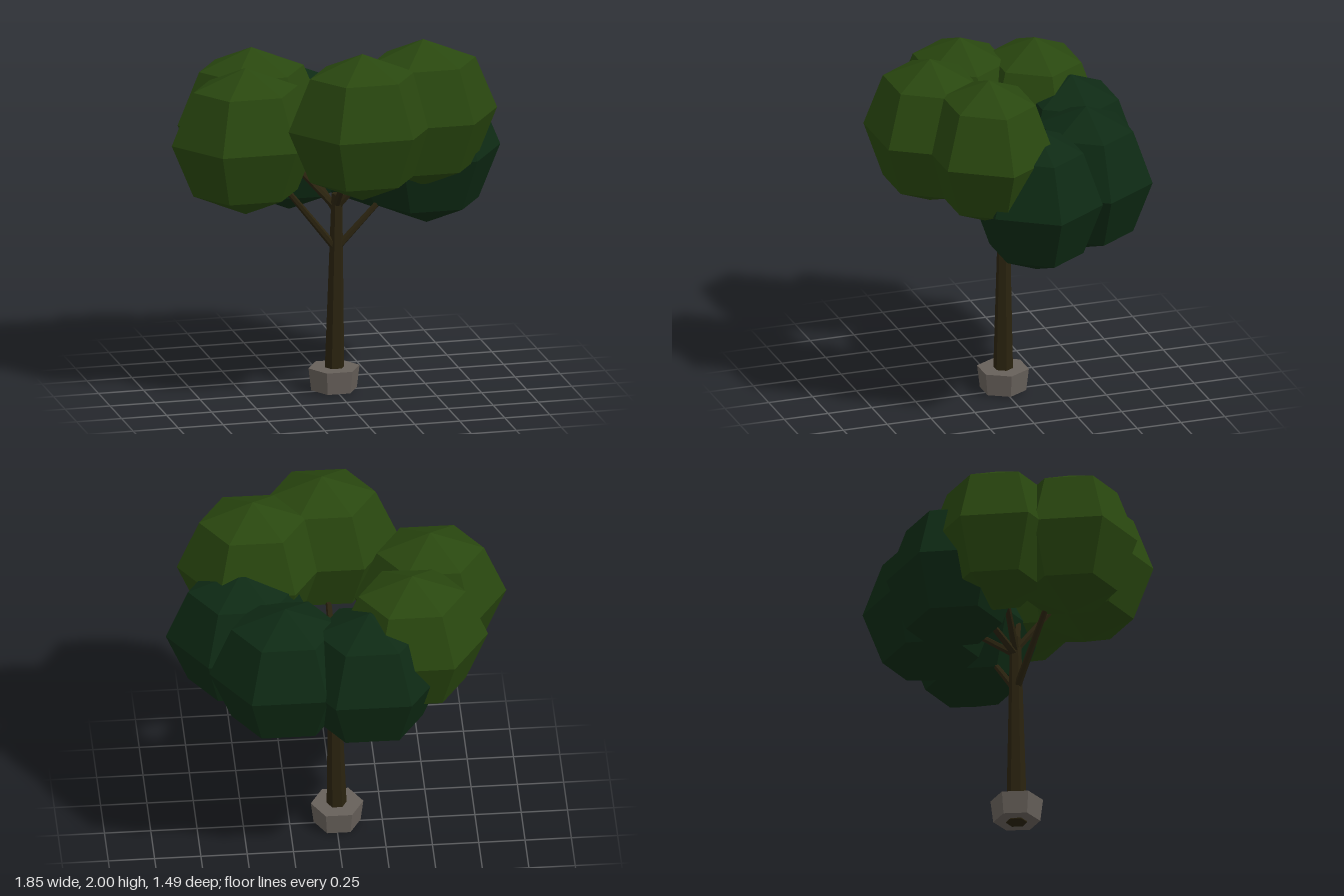
import * as THREE from 'three';

const mat = (name, color) => {
  const m = new THREE.MeshStandardMaterial({ color, flatShading: true });
  m.name = name;
  return m;
};

export function createModel() {
  const tree = new THREE.Group();
  tree.name = 'tree';
  const leaf = mat('leaf green', 0x29470f);
  const darkLeaf = mat('dark leaf green', 0x0e2a14);
  const bark = mat('bark brown', 0x2a230f);
  const stone = mat('stone grey', 0x67605a);

  const add = (name, geometry, material) => {
    const mesh = new THREE.Mesh(geometry, material);
    mesh.name = name;
    tree.add(mesh);
    return mesh;
  };

  // six-sided tapered limb between two points
  const up = new THREE.Vector3(0, 1, 0);
  const limb = (name, from, to, r0, r1) => {
    const dir = to.clone().sub(from);
    const geo = new THREE.CylinderGeometry(r1, r0, dir.length(), 6, 1, false, Math.PI / 6);
    const mesh = add(name, geo, bark);
    mesh.position.copy(from).lerp(to, 0.5);
    mesh.quaternion.setFromUnitVectors(up, dir.normalize());
  };

  // stone base, wider at the top
  const base = add('base', new THREE.CylinderGeometry(0.142, 0.127, 0.124, 6, 1, false, Math.PI / 6), stone);
  base.position.set(-0.006, 0.068, 0);

  // trunk, leaning slightly
  limb('trunk', new THREE.Vector3(-0.005, 0, 0), new THREE.Vector3(0.01, 1.1, 0), 0.057, 0.03);

  // crown clusters: centre, material, height where the branch leaves the trunk
  const clusters = [
    [0.04, 1.59, 0.433, leaf, 1.03],
    [0.43, 1.59, 0.233, leaf, 1.02],
    [-0.515, 1.45, 0.068, leaf, 0.79],
    [-0.385, 1.45, -0.313, leaf, 1.02],
    [0.51, 1.31, -0.01, darkLeaf, 0.79],
    [0.305, 1.31, -0.365, darkLeaf, 1.0],
    [-0.143, 1.31, -0.44, darkLeaf, 1.0],
  ];
  const blob = new THREE.SphereGeometry(0.41, 6, 4);
  blob.scale(1, 1, 0.865);
  clusters.forEach(([x, y, z, material, start], i) => {
    add(`foliage${i + 1}`, blob, material).position.set(x, y, z);
    const from = new THREE.Vector3(0.005, start, 0);
    const to = from.clone().lerp(new THREE.Vector3(x, y, z), 0.7);
    limb(`branch${i + 1}`, from, to, 0.021, 0.014);
  });
  return tree;
}
